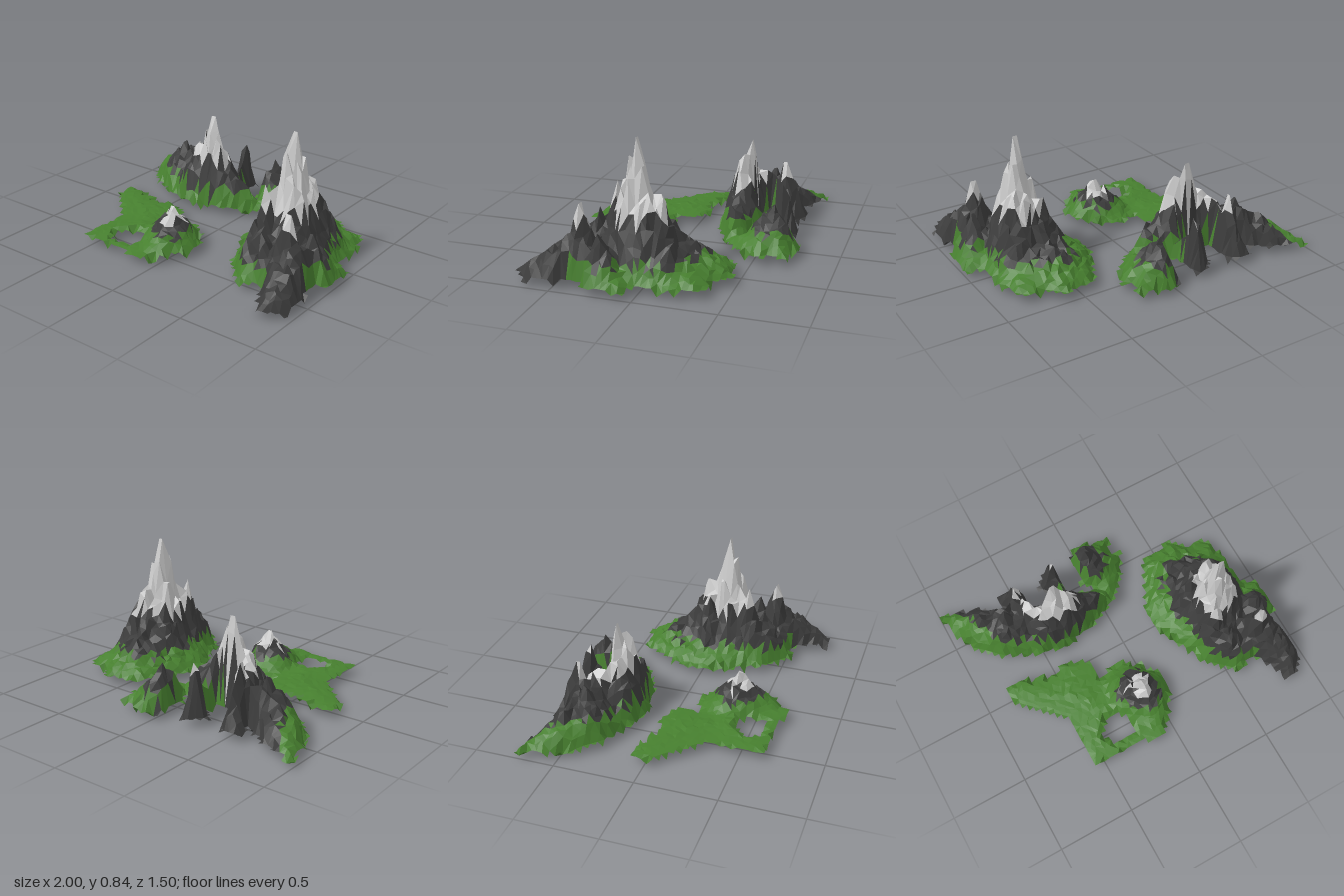
import * as THREE from 'three';

const CELL = 1 / 30, BASE = 0.055;

// Repeatable noise from grid indices
const noise = (i, j, k) => {
  const s = Math.sin(i * 127.1 + j * 311.7 + k * 74.7) * 43758.5453;
  return s - Math.floor(s);
};

function inside(poly, x, z) {
  let hit = false;
  poly.forEach(([ax, az], n) => {
    const [bx, bz] = poly[(n + 1) % poly.length];
    if ((az > z) !== (bz > z) && x < ax + (bx - ax) * (z - az) / (bz - az)) hit = !hit;
  });
  return hit;
}

function shoreDistance(poly, x, z) {
  return Math.min(...poly.map(([ax, az], n) => {
    const [bx, bz] = poly[(n + 1) % poly.length], dx = bx - ax, dz = bz - az;
    const t = THREE.MathUtils.clamp(((x - ax) * dx + (z - az) * dz) / (dx * dx + dz * dz), 0, 1);
    return Math.hypot(x - ax - t * dx, z - az - t * dz);
  }));
}

const inEllipse = ([cx, cz, rx, rz], x, z) => Math.hypot((x - cx) / rx, (z - cz) / rz) < 1;

// Outline points are [x, z]; peaks are [x, z, height, optional radius]; hole and bare rock are [x, z, rx, rz]
function buildIsland(name, materials, { outline, peaks, bare, hole, slope, grassTop, snowLine }) {
  const land = (i, j) => {
    const x = (i + 0.5) * CELL, z = (j + 1) * CELL;
    return inside(outline, x, z) && !(hole && inEllipse(hole, x, z));
  };

  // One terrain point: stepped shore on the grid, loosened points and cone-shaped peaks inland
  const point = (i, j) => {
    const p = new THREE.Vector3(i * CELL, BASE, (j + 0.5) * CELL);
    const inland = land(i, j) && land(i - 1, j) && land(i, j - 1) && land(i - 1, j - 1);
    if (!inland) {
      p.y -= BASE * noise(i, j, 1) ** 5;
      return p;
    }
    p.x += (noise(i, j, 2) - 0.5) * CELL * 0.7;
    p.z += (noise(i, j, 3) - 0.5) * CELL * 0.7;
    const d = shoreDistance(outline, p.x, p.z);
    let rise = d * slope * (0.75 + 0.5 * noise(i, j, 4));
    for (const [px, pz, h, r = 0.13 + 0.14 * h] of peaks) {
      const away = Math.max(0, Math.hypot(p.x - px, p.z - pz) - 0.02);
      const rough = away === 0 ? 1 : 0.72 + 0.28 * noise(i, j, 5);
      const cone = Math.max(0, 1 - away / r) ** 1.25;
      rise = Math.max(rise, (h - BASE) * cone * rough * Math.min(1, 0.25 + d / 0.08));
    }
    p.y += rise;
    return p;
  };

  // Sort each face into grass, rock or snow by its height
  const faces = { grass: [], rock: [], snow: [] };
  const addFace = (a, b, c, wobble) => {
    const mid = a.clone().add(b).add(c).divideScalar(3);
    const y = mid.y + (wobble - 0.5) * 0.06;
    const rocky = y > grassTop || inEllipse(bare, mid.x, mid.z);
    const kind = y > snowLine ? 'snow' : rocky ? 'rock' : 'grass';
    for (const v of [a, b, c]) faces[kind].push(v.x, v.y, v.z);
  };
  for (let i = -30; i < 30; i++) {
    for (let j = -23; j < 22; j++) {
      if (!land(i, j)) continue;
      const a = point(i, j), b = point(i, j + 1), c = point(i + 1, j + 1), d = point(i + 1, j);
      const w = noise(i, j, 6);
      // Split along the flatter diagonal so ridges stay sharp
      if (Math.abs(a.y - c.y) < Math.abs(b.y - d.y)) {
        addFace(a, b, c, w);
        addFace(a, c, d, w);
      } else {
        addFace(a, b, d, w);
        addFace(b, c, d, w);
      }
    }
  }

  const group = new THREE.Group();
  group.name = name;
  for (const kind in faces) {
    const geometry = new THREE.BufferGeometry();
    geometry.setAttribute('position', new THREE.Float32BufferAttribute(faces[kind], 3));
    geometry.computeVertexNormals();
    const mesh = new THREE.Mesh(geometry, materials[kind]);
    mesh.name = kind;
    group.add(mesh);
  }
  return group;
}

export function createModel() {
  const paint = color => new THREE.MeshStandardMaterial({ color, flatShading: true, side: THREE.DoubleSide });
  const materials = { grass: paint(0x47802f), rock: paint(0x3c3c3c), snow: paint(0xcccccc) };
  const model = new THREE.Group();
  model.name = 'mountainIslands';

  // Crescent: round outer shore, then the ragged bay with two spurs
  const outerShore = new THREE.EllipseCurve(-0.33, -0.75, 0.66, 0.59, 0.28, Math.PI).getPoints(16).map(p => [p.x, p.y]);
  const bay = [[-0.73, -0.66], [-0.58, -0.56], [-0.6, -0.68], [-0.48, -0.68], [-0.42, -0.6], [-0.42, -0.44],
    [-0.24, -0.42], [-0.24, -0.52], [-0.32, -0.6], [-0.25, -0.68], [-0.15, -0.68], [-0.15, -0.48], [0.02, -0.39],
    [-0.05, -0.5], [-0.03, -0.72], [0.04, -0.75], [0.28, -0.7], [0.23, -0.6]];
  model.add(buildIsland('crescentIsland', materials, {
    outline: [...outerShore, ...bay],
    peaks: [[-0.31, -0.35, 0.61], [-0.38, -0.32, 0.53], [-0.24, -0.32, 0.53], [-0.45, -0.43, 0.47], [-0.5, -0.53, 0.42],
      [-0.22, -0.58, 0.4], [-0.62, -0.45, 0.34, 0.28], [-0.75, -0.53, 0.23, 0.25], [-0.08, -0.32, 0.28], [0.03, -0.57, 0.31, 0.24]],
    bare: [-0.45, -0.75, 0.45, 0.27], slope: 0.7, grassTop: 0.16, snowLine: 0.33,
  }));

  // Tall island with the main spire and a bare southern tip
  model.add(buildIsland('tallIsland', materials, {
    outline: [[0.38, -0.43], [0.62, -0.48], [0.74, -0.38], [0.87, -0.36], [0.92, 0.04], [1, 0.07], [1, 0.3], [0.94, 0.34],
      [0.97, 0.63], [0.9, 0.76], [0.82, 0.74], [0.7, 0.53], [0.54, 0.54], [0.4, 0.41], [0.25, 0.08], [0.25, -0.14]],
    peaks: [[0.62, 0.1, 0.84], [0.66, 0.04, 0.68], [0.54, 0.25, 0.54, 0.15], [0.62, -0.06, 0.52], [0.52, -0.02, 0.45],
      [0.68, -0.07, 0.5], [0.78, 0.38, 0.47, 0.15], [0.84, 0.4, 0.32, 0.38], [0.85, 0.24, 0.32], [0.57, 0.35, 0.38]],
    bare: [0.86, 0.62, 0.16, 0.2], slope: 0.7, grassTop: 0.15, snowLine: 0.38,
  }));

  // Low meadow with a pond hole and one small hill
  model.add(buildIsland('lowIsland', materials, {
    outline: [[-0.84, -0.09], [-0.7, -0.09], [-0.55, -0.02], [-0.38, -0.05], [-0.27, 0.02], [-0.27, 0.16], [-0.12, 0.11],
      [0.03, 0.2], [0.1, 0.33], [0.1, 0.46], [-0.02, 0.63], [-0.12, 0.69], [-0.25, 0.65], [-0.58, 0.65], [-0.58, 0.53],
      [-0.55, 0.3], [-0.82, 0.06]],
    peaks: [[-0.08, 0.36, 0.275, 0.2], [-0.13, 0.33, 0.24], [-0.06, 0.46, 0.17]],
    bare: [-0.08, 0.37, 0.1, 0.12], hole: [-0.32, 0.51, 0.1, 0.09], slope: 0.1, grassTop: 0.125, snowLine: 0.19,
  }));
  return model;
}
